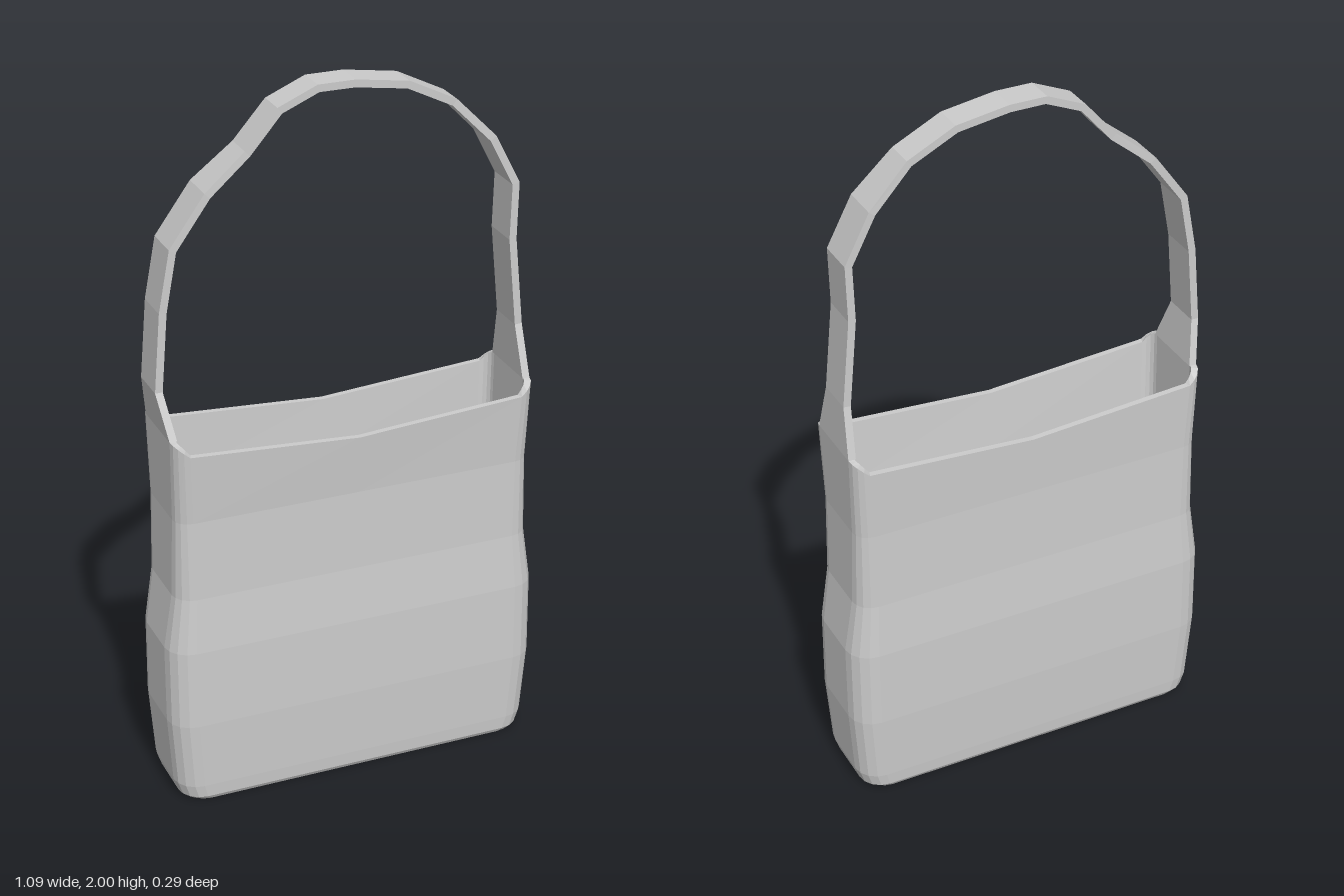
import * as THREE from 'three';

const material = new THREE.MeshStandardMaterial({ color: 0xcccccc, flatShading: true });

// Skin a list of closed rings; optionally close the first and last ring with a fan.
function loft(rings, capStart, capEnd) {
  const n = rings[0].length;
  const positions = rings.flat().flatMap((p) => [p.x, p.y, p.z]);
  const index = [];
  for (let i = 0; i < rings.length - 1; i++) {
    for (let j = 0; j < n; j++) {
      const k = (j + 1) % n;
      const a = i * n + j, b = i * n + k, c = a + n, d = b + n;
      index.push(a, b, d, a, d, c);
    }
  }
  const last = (rings.length - 1) * n;
  for (let j = 1; j < n - 1; j++) {
    if (capStart) index.push(0, j + 1, j);
    if (capEnd) index.push(last, last + j, last + j + 1);
  }
  const geometry = new THREE.BufferGeometry();
  geometry.setAttribute('position', new THREE.Float32BufferAttribute(positions, 3));
  geometry.setIndex(index);
  const flat = geometry.toNonIndexed();
  flat.computeVertexNormals();
  return flat;
}

// Rounded rectangle at height y, with a mid point on the front and back edges.
function ring(y, hw, hd, r, zc = 0) {
  const points = [];
  const segments = 4;
  for (let q = 0; q < 4; q++) {
    const cx = (q === 0 || q === 3 ? 1 : -1) * (hw - r);
    const cz = (q < 2 ? -1 : 1) * (hd - r);
    for (let s = 0; s <= segments; s++) {
      const t = (q + s / segments) * Math.PI / 2;
      points.push(new THREE.Vector3(cx + r * Math.cos(t), y, zc + cz - r * Math.sin(t)));
    }
    if (q === 0) points.push(new THREE.Vector3(0, y, zc - hd));
    if (q === 2) points.push(new THREE.Vector3(0, y, zc + hd));
  }
  return points;
}

// The rim sags at the middle and sweeps up at the sides to meet the strap.
function rimHeight(x) {
  const a = Math.abs(x);
  return 1.04 + 0.025 * Math.min(a / 0.47, 1) + 0.04 * Math.max(0, (a - 0.47) / 0.05);
}

function createBody() {
  const outer = [
    ring(0, 0.5, 0.128, 0.06),
    ring(0.012, 0.517, 0.135, 0.065),
    ring(0.05, 0.53, 0.138, 0.068),
    ring(0.25, 0.545, 0.145, 0.07),
    ring(0.48, 0.545, 0.143, 0.07),
    ring(0.64, 0.521, 0.132, 0.055),
    ring(0.87, 0.515, 0.128, 0.045),
  ];
  const rim = ring(0, 0.52, 0.137, 0.042, 0.004);
  const lip = ring(0, 0.503, 0.12, 0.03, 0.004);
  rim.forEach((p, i) => { p.y = lip[i].y = rimHeight(p.x); });
  // Inner lining, from the lip down to the floor
  const inner = [
    ring(0.87, 0.497, 0.11, 0.03),
    ring(0.64, 0.502, 0.114, 0.04),
    ring(0.48, 0.525, 0.125, 0.055),
    ring(0.25, 0.525, 0.126, 0.055),
    ring(0.03, 0.5, 0.115, 0.05),
  ];
  const body = new THREE.Mesh(loft([...outer, rim, lip, ...inner], true, true), material);
  body.name = 'bagBody';
  return body;
}

function createStrap() {
  // Outer edge of the strap: x, y, half width, z centre
  const path = [
    [-0.52, 1.105, 0.095, 0.004], [-0.54, 1.23, 0.056, -0.002], [-0.522, 1.45, 0.055, -0.003],
    [-0.49, 1.62, 0.055, -0.003], [-0.39, 1.757, 0.054, -0.005], [-0.275, 1.85, 0.044, -0.007],
    [-0.185, 1.953, 0.043, -0.007], [-0.075, 2, 0.043, -0.007], [0.03, 2, 0.043, -0.007],
    [0.18, 1.977, 0.043, -0.007], [0.315, 1.91, 0.043, -0.007], [0.425, 1.798, 0.054, -0.005],
    [0.495, 1.66, 0.055, -0.003], [0.491, 1.5, 0.055, -0.003], [0.514, 1.25, 0.056, -0.002],
    [0.52, 1.105, 0.095, 0.004],
  ];
  const thickness = 0.021;
  const last = path.length - 1;
  const sections = path.map(([x, y, h, zc], i) => {
    const a = path[Math.max(i - 1, 0)], b = path[Math.min(i + 1, last)];
    const d = new THREE.Vector2(b[0] - a[0], b[1] - a[1]).normalize();
    if (i === 0) d.set(0, 1);
    if (i === last) d.set(0, -1);
    const ix = x + d.y * thickness, iy = y - d.x * thickness;
    return [[ix, iy, zc + h], [ix, iy, zc - h], [x, y, zc - h], [x, y, zc + h]]
      .map((p) => new THREE.Vector3(...p));
  });
  const strap = new THREE.Mesh(loft(sections, true, true), material);
  strap.name = 'shoulderStrap';
  return strap;
}

export function createModel() {
  const bag = new THREE.Group();
  bag.name = 'shoulderBag';
  bag.add(createBody(), createStrap());
  return bag;
}
